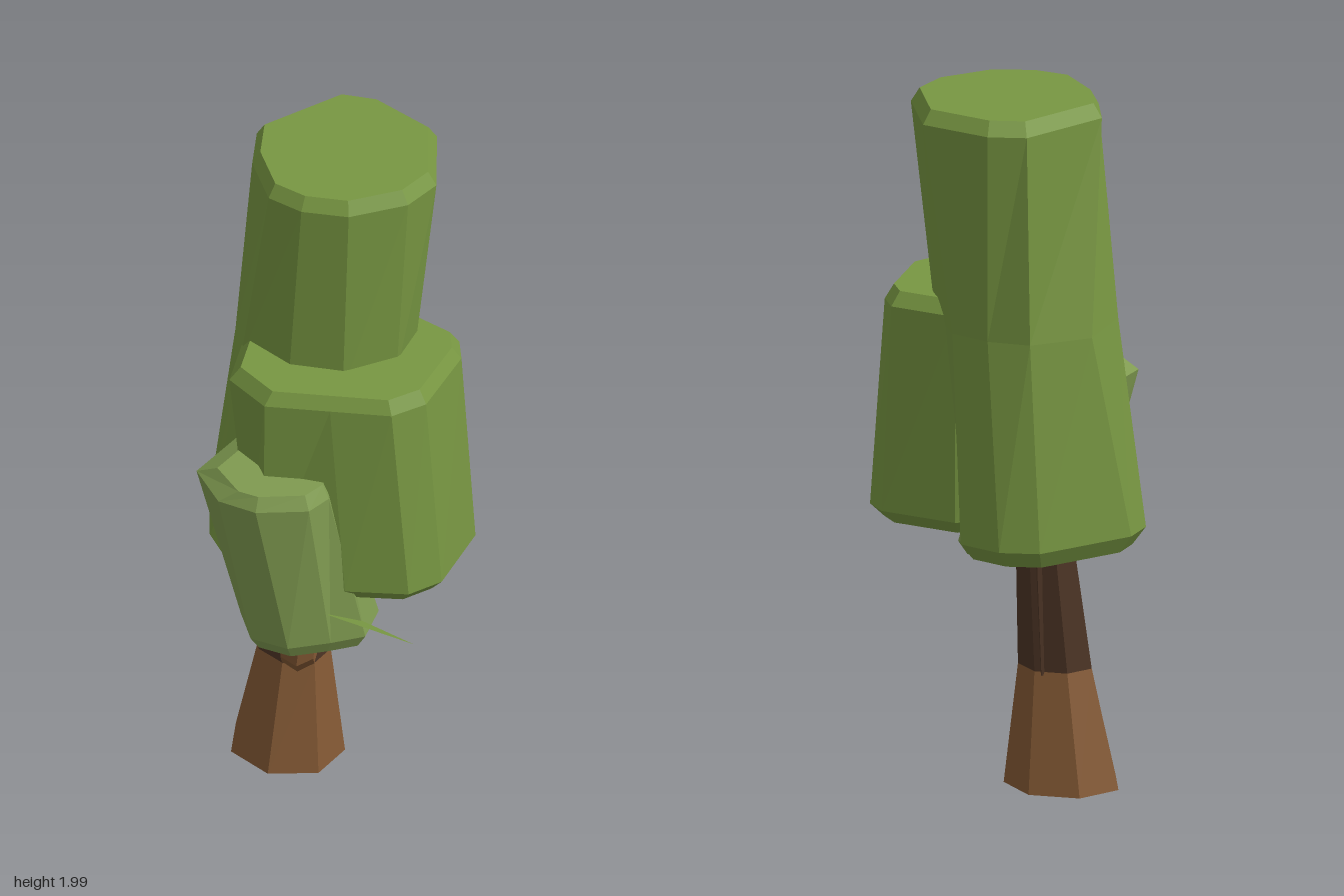
import * as THREE from 'three';

const material = (color, side = THREE.FrontSide) =>
  new THREE.MeshStandardMaterial({ color, flatShading: true, roughness: 1, side });
const leaf = material(0x789742);
const leafLight = material(0x7f9a50);
const leafThin = material(0x789742, THREE.DoubleSide);
const bark = material(0x855a35, THREE.DoubleSide);
const barkDark = material(0x4d3525);

const middle = (o) => [0, 1].map((k) => o.reduce((s, p) => s + p[k], 0) / o.length);

// Shrinks an outline of [x, z] points around its middle
function scaled(outline, s) {
  const c = middle(outline);
  return outline.map((p) => [c[0] + (p[0] - c[0]) * s, c[1] + (p[1] - c[1]) * s]);
}

function regular(n, cx, cz, rx, rz, turn) {
  return Array.from({ length: n }, (_, i) => {
    const a = turn + (i / n) * Math.PI * 2;
    return [cx + Math.cos(a) * rx, cz + Math.sin(a) * rz];
  });
}

// Faceted skin through rings { y, o }, listed from bottom to top
function loft(rings, capped) {
  const pos = [];
  const n = rings[0].o.length;
  const put = (r, i) => pos.push(r.o[i % n][0], r.y, r.o[i % n][1]);
  const putMiddle = (r) => { const c = middle(r.o); pos.push(c[0], r.y, c[1]); };
  for (let k = 0; k < rings.length - 1; k++) {
    const lo = rings[k], hi = rings[k + 1];
    for (let i = 0; i < n; i++) {
      put(lo, i); put(hi, i); put(lo, i + 1);
      put(lo, i + 1); put(hi, i); put(hi, i + 1);
    }
  }
  const bottom = rings[0], top = rings[rings.length - 1];
  for (let i = 0; capped && i < n; i++) {
    putMiddle(bottom); put(bottom, i); put(bottom, i + 1);
    putMiddle(top); put(top, i + 1); put(top, i);
  }
  const g = new THREE.BufferGeometry();
  g.setAttribute('position', new THREE.Float32BufferAttribute(pos, 3));
  g.computeVertexNormals();
  return g;
}

// Leaf column: a loft with bevelled rims at both ends
function leafColumn(y0, y1, rings, topOutline = scaled(rings[rings.length - 1].o, 0.91)) {
  return loft([{ y: y0, o: scaled(rings[0].o, 0.86) }, ...rings, { y: y1, o: topOutline }], true);
}

export function createModel() {
  const model = new THREE.Group();
  model.name = 'tree';
  const add = (name, geometry, mat) => {
    const mesh = new THREE.Mesh(geometry, mat);
    mesh.name = name;
    model.add(mesh);
  };

  // Tall crown, flared at the foot, twisted and waisted in the middle
  add('tallCrown', leafColumn(0.72, 2, [
    { y: 0.77, o: [[0.39, -0.14], [0.365, -0.01], [0.24, 0.05], [0.05, 0.09], [-0.12, 0.03],
      [-0.21, -0.21], [-0.165, -0.28], [-0.01, -0.39], [0.09, -0.395], [0.35, -0.245]] },
    { y: 1.36, o: [[0.36, -0.09], [0.335, 0.03], [0.2, 0.15], [0.07, 0.18], [-0.07, 0.1],
      [-0.13, -0.04], [-0.1, -0.22], [0, -0.31], [0.2, -0.33], [0.34, -0.21]] },
    { y: 1.96, o: [[0.4, -0.11], [0.375, 0.1], [0.19, 0.23], [0.07, 0.22], [-0.07, 0.12],
      [-0.125, 0], [-0.125, -0.11], [-0.02, -0.24], [0.1, -0.31], [0.36, -0.21]] },
  ]), leaf);

  // Front crown
  add('frontCrown', leafColumn(0.76, 1.43, [
    { y: 0.8, o: [[0.28, 0.05], [0.27, 0.28], [0.22, 0.34], [-0.01, 0.39], [-0.11, 0.35],
      [-0.2, 0.2], [-0.275, -0.02], [-0.2, -0.12], [-0.04, -0.14], [0.2, -0.06]] },
    { y: 1.39, o: [[0.28, 0.05], [0.27, 0.25], [0.21, 0.3], [-0.02, 0.345], [-0.12, 0.3],
      [-0.2, 0.15], [-0.285, -0.01], [-0.24, -0.16], [-0.08, -0.23], [0.2, -0.1]] },
  ]), leaf);

  // Small side crown leaning outwards, its top rim cut back behind
  add('sideCrown', leafColumn(0.6, 1.15, [
    { y: 0.64, o: [[0.02, 0.04], [-0.04, 0.2], [-0.16, 0.24], [-0.24, 0.18], [-0.33, 0.1],
      [-0.35, -0.01], [-0.27, -0.1], [-0.02, -0.11]] },
    { y: 1.11, o: [[-0.07, -0.05], [-0.12, 0.1], [-0.22, 0.16], [-0.3, 0.15], [-0.39, 0.035],
      [-0.405, -0.08], [-0.325, -0.21], [-0.13, -0.21]] },
  ], [[-0.09, -0.03], [-0.13, 0.09], [-0.22, 0.14], [-0.29, 0.13], [-0.37, 0.03],
    [-0.38, -0.03], [-0.325, -0.14], [-0.15, -0.14]]), leafLight);

  // Pointed leaf sticking out under the side crown
  const point = new THREE.BufferGeometry().setFromPoints([
    new THREE.Vector3(-0.25, 0.74, 0.17), new THREE.Vector3(-0.14, 0.665, 0.39),
    new THREE.Vector3(-0.17, 0.7, 0.18)]);
  point.computeVertexNormals();
  add('leafPoint', point, leafThin);

  // Trunk: open flared foot and slimmer upper part
  const waist = regular(7, 0.02, -0.13, 0.092, 0.108, 0.2);
  add('trunkFoot', loft([
    { y: 0.01, o: regular(7, 0.012, -0.148, 0.15, 0.167, 0.2) },
    { y: 0.35, o: waist },
  ], false), bark);
  add('trunkTop', loft([
    { y: 0.35, o: waist },
    { y: 0.8, o: regular(7, 0.06, -0.11, 0.063, 0.08, 0.2) },
  ], false), barkDark);

  // Bent branch carrying the side crown
  const knots = [[0.03, 0.4, -0.1], [-0.09, 0.425, -0.035], [-0.178, 0.52, 0.025], [-0.185, 0.65, 0.045]];
  const bend = new THREE.CatmullRomCurve3(knots.map((p) => new THREE.Vector3(...p)), false, 'centripetal');
  add('branch', new THREE.TubeGeometry(bend, 3, 0.052, 6, false), bark);

  // Thin twigs beside the trunk
  const twigs = [[[-0.02, 0.44, -0.06], [-0.015, 0.76, 0]], [[0.1, 0.34, -0.13], [0.115, 0.76, -0.12]]];
  for (const [a, b] of twigs) {
    const line = new THREE.LineCurve3(new THREE.Vector3(...a), new THREE.Vector3(...b));
    add('twig', new THREE.TubeGeometry(line, 1, 0.01, 4, false), barkDark);
  }
  return model;
}
